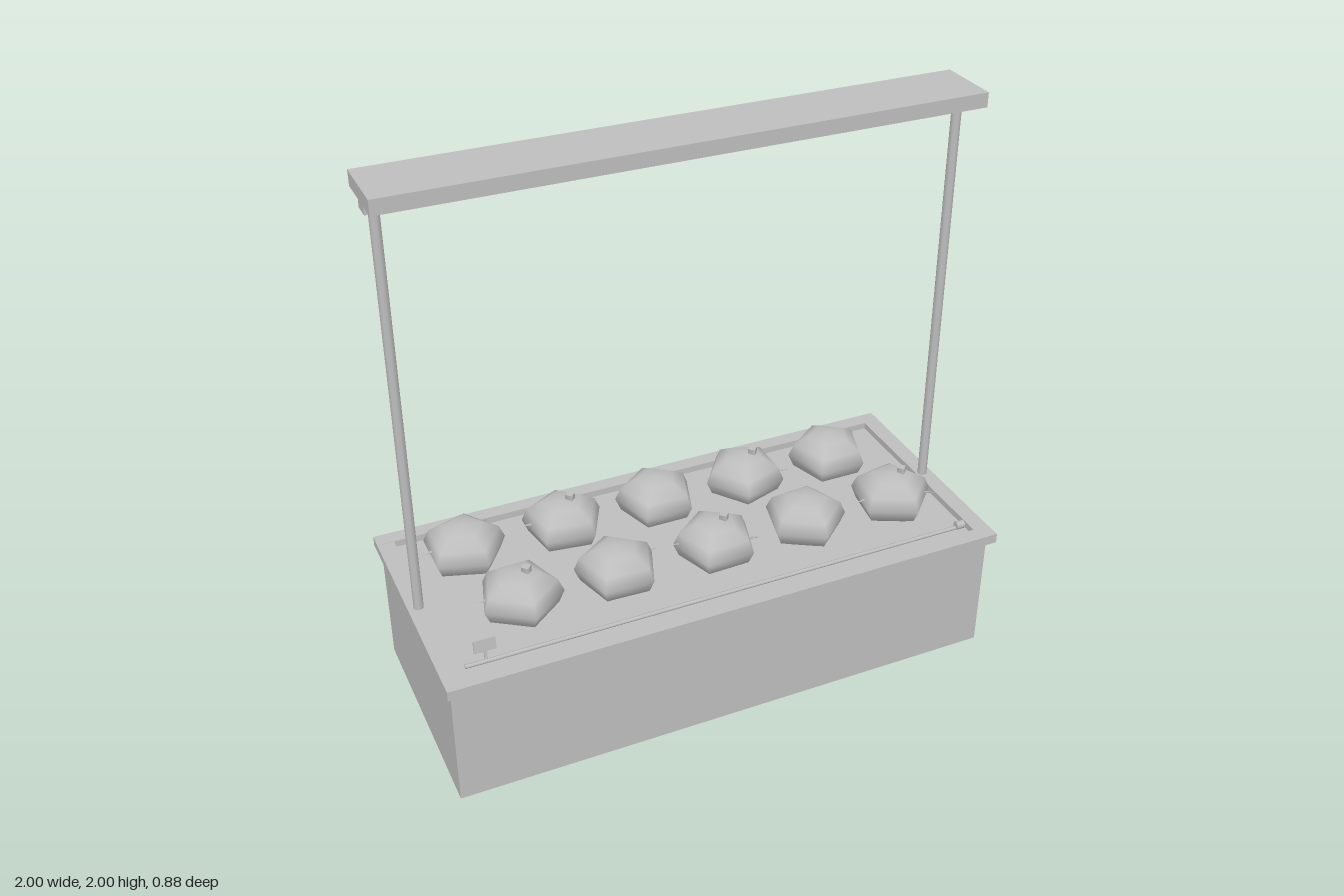
import * as THREE from 'three';

export function createModel() {
  const model = new THREE.Group();
  model.name = 'planterWithGrowLight';
  const grey = new THREE.MeshStandardMaterial({ name: 'plainGrey', color: 0xbebebe, side: THREE.DoubleSide });

  const add = (name, geometry, x, y, z, parent = model) => {
    const mesh = new THREE.Mesh(geometry, grey);
    mesh.name = name;
    mesh.position.set(x, y, z);
    parent.add(mesh);
    return mesh;
  };
  const box = (name, w, h, d, x, y, z, parent) =>
    add(name, new THREE.BoxGeometry(w, h, d), x, y, z, parent);

  // Trough walls, open underneath
  const W = 0.983, D = 0.405, H = 0.455;
  for (const s of [-1, 1]) {
    const long = add(s > 0 ? 'frontWall' : 'backWall', new THREE.PlaneGeometry(2 * W, H), 0, H / 2, s * D);
    if (s < 0) long.rotation.y = Math.PI;
    const end = add(s > 0 ? 'leftWall' : 'rightWall', new THREE.PlaneGeometry(2 * D, H), s * W, H / 2, 0);
    end.rotation.y = s * Math.PI / 2;

    // Rim boards
    box('longRim', 2, 0.036, 0.055, 0, 0.472, s * 0.4125);
    box('endRim', 0.06, 0.034, 0.77, s * 0.97, 0.472, 0);

    // Post and lamp bracket
    add('post', new THREE.CylinderGeometry(0.017, 0.017, 1.45, 8), s * 0.963, 1.2, 0);
    box('lampBracket', 0.064, 0.034, 0.06, s * 0.965, 1.934, 0);
  }
  box('soil', 2 * W - 0.01, 0.02, 2 * D - 0.01, 0, 0.455, 0);
  box('lampBar', 2, 0.05, 0.23, 0, 1.975, 0);

  // Produce: x, z, direction of one corner, stem offset (null = none), side twig directions (degrees)
  const fruits = [
    [-0.663, 0.16, 88, 0.027, [180]],
    [-0.32, 0.16, 56, null, [-12]],
    [0.04, 0.16, 52, 0.03, [190, 22]],
    [0.383, 0.16, 85, null, []],
    [0.73, 0.16, 80, 0.035, [175, 28]],
    [-0.75, -0.165, -72, null, [-42, 178]],
    [-0.39, -0.165, -82, 0.027, [184]],
    [-0.04, -0.165, -90, null, []],
    [0.305, -0.165, -108, 0.033, [-42, 186, 20]],
    [0.65, -0.165, -90, null, []],
  ];
  const RAD = Math.PI / 180;
  const bodyShape = new THREE.SphereGeometry(0.146, 5, 6).scale(1, 0.62, 1);
  const twigShape = new THREE.ConeGeometry(0.007, 0.06, 4).rotateZ(-Math.PI / 2);
  for (const [x, z, corner, stem, twigs] of fruits) {
    const fruit = new THREE.Group();
    fruit.name = 'fruit';
    fruit.position.set(x, 0.562, z);
    model.add(fruit);
    add('fruitBody', bodyShape, 0, 0, 0, fruit).rotation.y = Math.PI - corner * RAD;
    if (stem !== null) {
      add('stem', new THREE.CylinderGeometry(0.018, 0.018, 0.03, 4), stem, 0.09, 0, fruit);
    }
    for (const t of twigs) {
      const a = t * RAD;
      add('twig', twigShape, Math.cos(a) * 0.13, 0.012, Math.sin(a) * 0.13, fruit).rotation.y = -a;
    }
  }

  // Watering pipe along the front with an end cap
  const pipe = add('wateringPipe', new THREE.CylinderGeometry(0.007, 0.007, 1.82, 8), 0, 0.477, 0.333);
  pipe.rotation.z = Math.PI / 2;
  add('pipeCap', new THREE.CylinderGeometry(0.015, 0.015, 0.03, 8), 0.912, 0.487, 0.335).rotation.z = Math.PI / 2;

  // Plant marker, leaning slightly back
  const marker = new THREE.Group();
  marker.name = 'plantMarker';
  marker.position.set(-0.833, 0.46, 0.31);
  marker.rotation.x = -0.12;
  model.add(marker);
  box('markerPlate', 0.074, 0.045, 0.008, 0, 0.058, 0, marker);
  box('markerStake', 0.01, 0.06, 0.008, 0, 0.015, 0, marker);

  return model;
}
